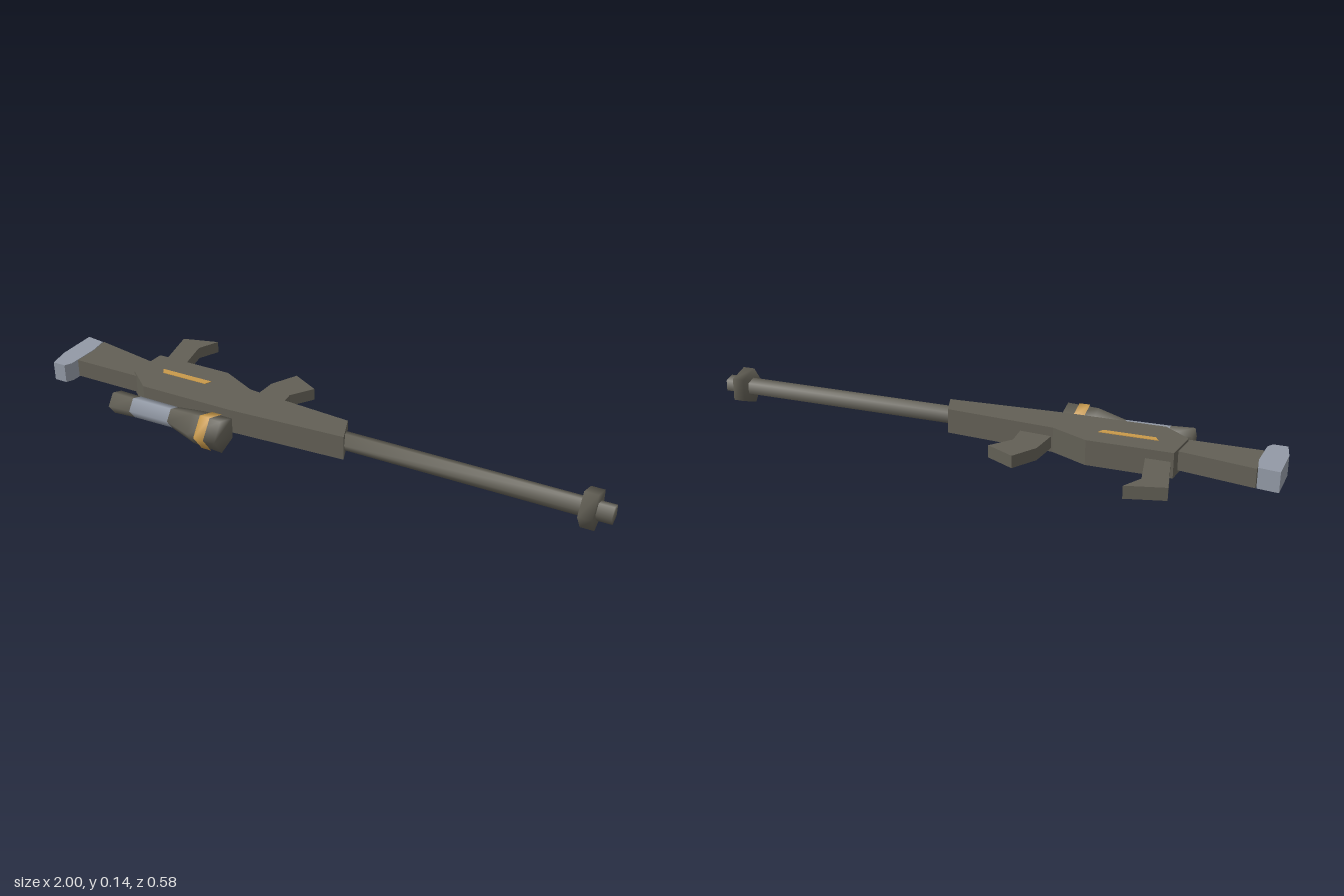
import * as THREE from 'three';

const material = (name, color, side = THREE.FrontSide) => {
  const m = new THREE.MeshStandardMaterial({ color, side });
  m.name = name;
  return m;
};

export function createModel() {
  const model = new THREE.Group();
  model.name = 'rifle';
  const gunmetal = material('gunmetal', 0x625f55);
  const steel = material('paleSteel', 0x9299a5);
  const gold = material('gold', 0xc8994a);

  function add(name, geometry, mat) {
    const mesh = new THREE.Mesh(geometry, mat);
    mesh.name = name;
    model.add(mesh);
  }

  // Flat slab: outline given as [x, z], extruded from y0 up to y1
  function slab(name, points, y0, y1, mat) {
    const shape = new THREE.Shape(points.map(([x, z]) => new THREE.Vector2(x, -z)));
    const geometry = new THREE.ExtrudeGeometry(shape, { depth: y1 - y0, bevelEnabled: false });
    geometry.rotateX(-Math.PI / 2).translate(0, y0, 0);
    add(name, geometry, mat);
  }

  // Smooth five-sided loft along x: sections are [x, radius, centreZ, materialIndex]
  function loft(name, sections, cy, mats, capped = true) {
    const n = 5, pos = [], index = [];
    const geometry = new THREE.BufferGeometry();
    for (const [x, r, cz] of sections) {
      for (let j = 0; j < n; j++) {
        const t = (j / n) * Math.PI * 2;
        pos.push(x, cy + r * Math.sin(t), cz + r * Math.cos(t));
      }
    }
    const last = (sections.length - 1) * n;
    for (let i = 0; i < sections.length - 1; i++) {
      const start = index.length;
      for (let j = 0; j < n; j++) {
        const k = (j + 1) % n;
        const a = i * n + j, b = i * n + k;
        index.push(a, a + n, b + n, a, b + n, b);
      }
      geometry.addGroup(start, index.length - start, sections[i][3] ?? 0);
    }
    if (capped) {
      const start = index.length;
      for (let j = 1; j < n - 1; j++) {
        index.push(0, j, j + 1, last, last + j + 1, last + j);
      }
      geometry.addGroup(start, index.length - start, 0);
    }
    geometry.setAttribute('position', new THREE.Float32BufferAttribute(pos, 3));
    geometry.setIndex(index);
    geometry.computeVertexNormals();
    add(name, geometry, mats);
  }

  // Receiver and stock
  slab('receiver', [[-0.68, -0.055], [-0.4, -0.055], [-0.27, 0.01], [0.11, 0.04],
    [0.145, 0.137], [-0.26, 0.16], [-0.6, 0.16], [-0.69, 0.085]], 0.03, 0.113, gunmetal);
  slab('stock', [[-0.93, -0.06], [-0.67, -0.01], [-0.66, 0.098], [-0.93, 0.098]],
    0.042, 0.104, gunmetal);
  slab('buttPlate', [[-1, -0.065], [-0.932, -0.055], [-0.922, 0.01], [-0.925, 0.13],
    [-0.938, 0.155], [-0.985, 0.155], [-1, 0.08]], 0.04, 0.106, steel);

  // Grips
  slab('rearGrip', [[-0.715, -0.252], [-0.59, -0.288], [-0.625, -0.215], [-0.59, -0.05],
    [-0.67, -0.05]], 0.042, 0.083, gunmetal);
  slab('frontGrip', [[-0.21, -0.197], [-0.11, -0.142], [-0.163, -0.065], [-0.155, 0.022],
    [-0.265, 0.022], [-0.258, -0.105]], 0.042, 0.083, gunmetal);

  // Barrel with muzzle collar
  loft('barrel', [[0.11, 0.032, 0.092], [1, 0.032, 0.092]], 0.072, [gunmetal]);
  loft('muzzleCollar', [[0.908, 0.066, 0.09], [0.952, 0.066, 0.09]], 0.072, [gunmetal]);

  // Scope, keeping its flat side level beside the receiver
  const profile = [[-0.68, 0.041, 0], [-0.6, 0.038, 1], [-0.45, 0.037, 0],
    [-0.35, 0.057, 0], [-0.24, 0.061, 0]];
  loft('scope', profile.map(([x, r, m]) => [x, r, 0.178 + 0.809 * r, m]), 0.06, [gunmetal, steel]);
  loft('scopeBand', [[-0.317, 0.064, 0.227], [-0.28, 0.064, 0.227]], 0.06, [gold], false);

  // Painted stripes
  slab('upperStripe', [[-0.61, 0.027], [-0.415, 0.027], [-0.425, 0.05], [-0.595, 0.05]],
    0.112, 0.115, gold);
  slab('lowerStripe', [[-0.58, 0.125], [-0.28, 0.125], [-0.265, 0.155], [-0.6, 0.155]],
    0.028, 0.031, gold);

  return model;
}
